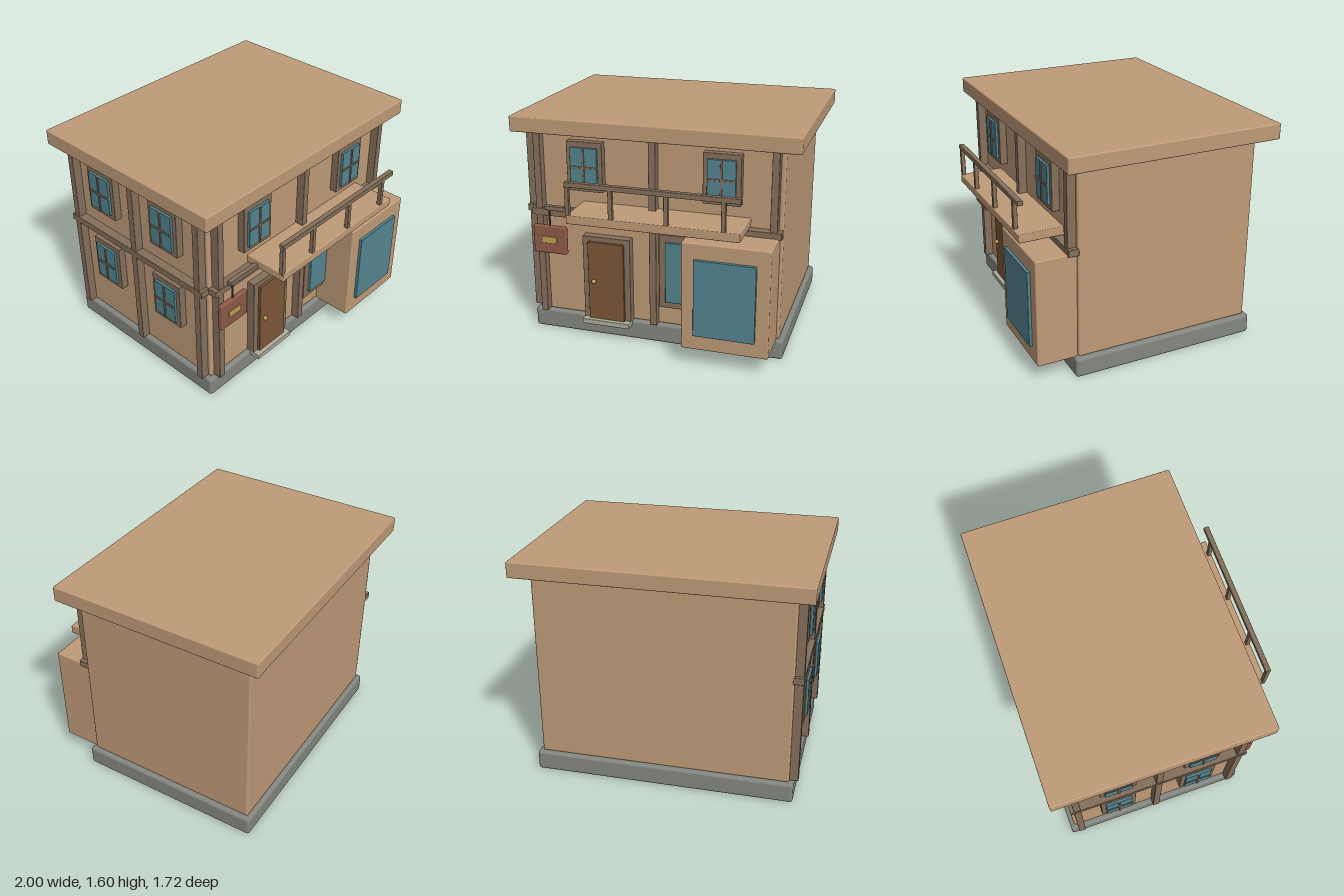
import * as THREE from 'three';
import { RoundedBoxGeometry } from 'three/addons/geometries/RoundedBoxGeometry.js';

const mat = (color) => new THREE.MeshStandardMaterial({ color });
const M = {
  wall: mat(0xbf9b78), timber: mat(0x85705a), stone: mat(0x84877f), glass: mat(0x548590),
  door: mat(0x7c5638), sign: mat(0x8f5a48), brass: mat(0xbfa050), step: mat(0xb0ae9c), iron: mat(0x33302c),
};

// Box given by its [min, max] extent on each axis, with slightly softened edges
function box(parent, name, material, [x0, x1], [y0, y1], [z0, z1], radius = 0.004) {
  const geometry = new RoundedBoxGeometry(x1 - x0, y1 - y0, z1 - z0, 2, radius);
  const mesh = new THREE.Mesh(geometry, material);
  mesh.name = name;
  mesh.position.set((x0 + x1) / 2, (y0 + y1) / 2, (z0 + z1) / 2);
  parent.add(mesh);
  return mesh;
}

// Four-pane window facing +z, with its back on z = 0
function paneWindow(name) {
  const g = new THREE.Group();
  g.name = name;
  box(g, 'windowFrame', M.timber, [-0.129, 0.129], [-0.175, 0.175], [0, 0.055]);
  box(g, 'windowGlass', M.glass, [-0.097, 0.097], [-0.137, 0.137], [0.04, 0.073]);
  box(g, 'verticalMullion', M.timber, [-0.007, 0.007], [-0.137, 0.137], [0.05, 0.08], 0.002);
  box(g, 'horizontalMullion', M.timber, [-0.097, 0.097], [-0.007, 0.007], [0.05, 0.08], 0.002);
  return g;
}

export function createModel() {
  const model = new THREE.Group();
  model.name = 'shopHouse';

  // Main masses
  box(model, 'foundation', M.stone, [-0.917, 0.917], [0, 0.142], [-0.78, 0.58], 0.02);
  box(model, 'walls', M.wall, [-0.885, 0.885], [0.14, 1.487], [-0.75, 0.55], 0.015);
  box(model, 'roofSlab', M.wall, [-1, 1], [1.485, 1.596], [-0.86, 0.66], 0.01);

  // Timber framing on the front and on the model's right side
  for (const x of [-0.83, 0, 0.83])
    box(model, 'frontPost', M.timber, [x - 0.025, x + 0.025], [0.145, 1.49], [0.54, 0.61]);
  box(model, 'frontBeam', M.timber, [-0.885, 0.885], [0.885, 0.935], [0.54, 0.614]);
  for (const z of [-0.7, -0.1, 0.5])
    box(model, 'sidePost', M.timber, [-0.945, -0.875], [0.145, 1.49], [z - 0.025, z + 0.025]);
  box(model, 'sideBeam', M.timber, [-0.949, -0.875], [0.885, 0.935], [-0.75, 0.55]);

  // Small windows
  for (const x of [-0.482, 0.478]) {
    const w = paneWindow('frontWindow');
    w.position.set(x, 1.263, 0.55);
    model.add(w);
  }
  for (const y of [0.665, 1.263])
    for (const z of [-0.4, 0.2]) {
      const w = paneWindow('sideWindow');
      w.position.set(-0.885, y, z);
      w.rotation.y = -Math.PI / 2;
      model.add(w);
    }

  // Wide shop window running behind the bay
  box(model, 'shopWindowFrame', M.timber, [0.042, 0.74], [0.29, 0.833], [0.54, 0.6]);
  box(model, 'shopWindowGlass', M.glass, [0.092, 0.69], [0.34, 0.783], [0.56, 0.62]);

  // Projecting bay
  box(model, 'bay', M.wall, [0.27, 0.865], [0.13, 0.895], [0.54, 0.835], 0.01);
  box(model, 'bayGlass', M.glass, [0.358, 0.775], [0.24, 0.785], [0.82, 0.856]);

  // Door
  box(model, 'doorFrame', M.timber, [-0.515, -0.165], [0.145, 0.765], [0.54, 0.61]);
  box(model, 'door', M.door, [-0.472, -0.208], [0.145, 0.73], [0.56, 0.63]);
  box(model, 'doorStep', M.step, [-0.515, -0.165], [0.11, 0.147], [0.54, 0.66]);
  const knob = new THREE.Mesh(new THREE.SphereGeometry(0.016, 16, 12), M.brass);
  knob.name = 'doorKnob';
  knob.position.set(-0.428, 0.437, 0.64);
  model.add(knob);

  // Balcony with railing
  box(model, 'balconySlab', M.wall, [-0.52, 0.665], [0.94, 1.0], [0.545, 0.86], 0.006);
  box(model, 'topRail', M.timber, [-0.525, 0.665], [1.196, 1.232], [0.823, 0.86]);
  for (const x of [-0.51, -0.206, 0.174, 0.554])
    box(model, 'railPost', M.timber, [x - 0.015, x + 0.015], [0.99, 1.2], [0.827, 0.857]);

  // Hanging sign
  box(model, 'signBracket', M.timber, [-0.78, -0.47], [0.937, 0.97], [0.61, 0.645]);
  const rod = new THREE.Mesh(new THREE.CylinderGeometry(0.007, 0.007, 0.13, 10), M.iron);
  rod.name = 'signRod';
  rod.position.set(-0.748, 0.878, 0.628);
  model.add(rod);
  box(model, 'signBoard', M.sign, [-0.87, -0.622], [0.616, 0.82], [0.611, 0.646], 0.01);
  box(model, 'signPlate', M.brass, [-0.803, -0.692], [0.695, 0.743], [0.635, 0.654]);

  return model;
}
